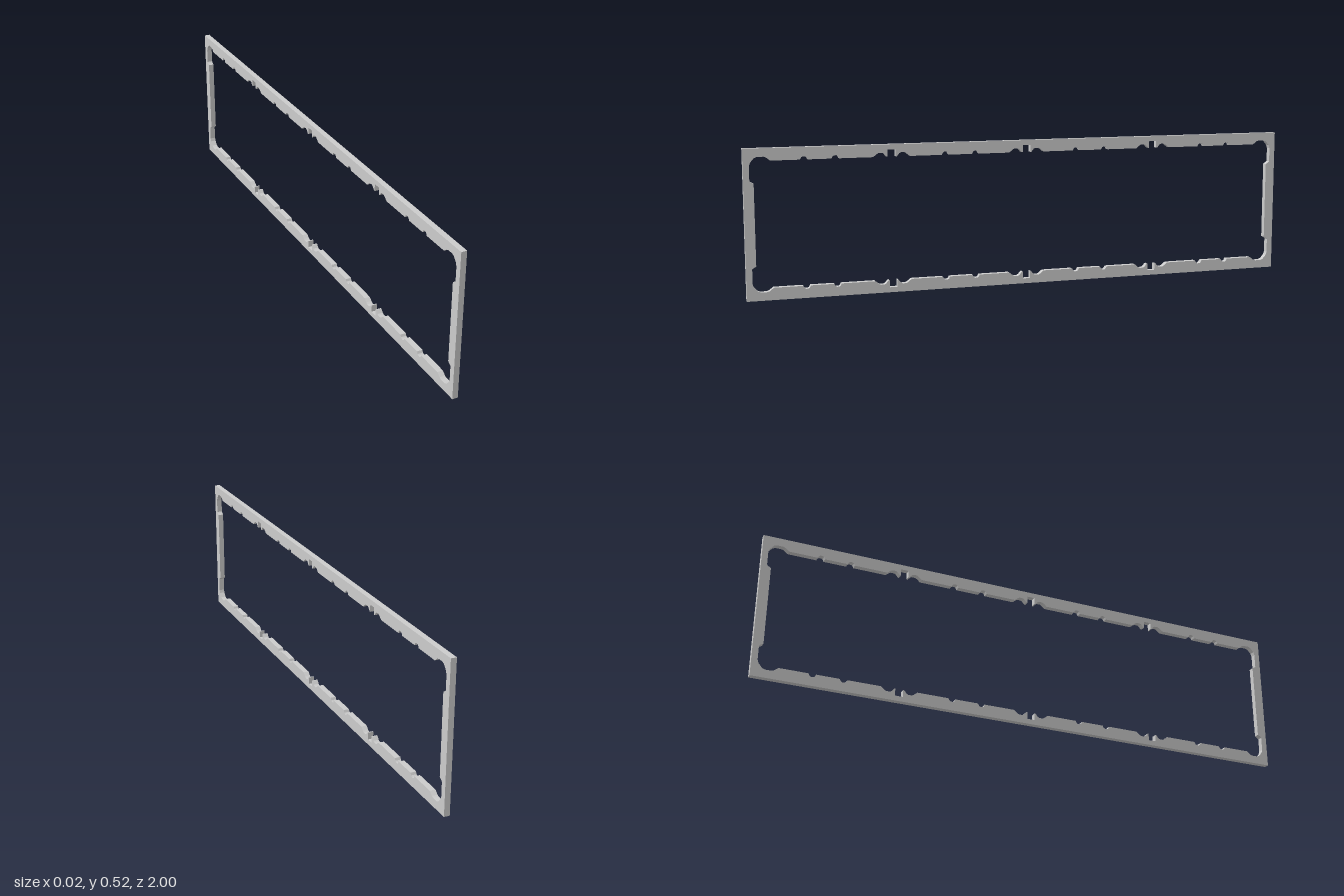
import * as THREE from 'three';

const HEIGHT = 0.522, DEPTH = 0.02, LIP = 0.043;

// Small rounded-bottom notch in the rail edge, listed in +z direction
const notch = (z) => [
  [z - 0.013, LIP], [z - 0.009, 0.035], [z - 0.004, 0.032],
  [z + 0.004, 0.032], [z + 0.009, 0.035], [z + 0.013, LIP],
];

// Half of a slotted recess: slot floor, slot wall, ear, shallow recess, back to the lip
const slotHalf = [
  [0.014, 0.018], [0.014, LIP], [0.018, LIP], [0.027, 0.032],
  [0.033, 0.029], [0.046, 0.029], [0.053, 0.033], [0.065, LIP],
];

function createOpening() {
  // One quarter of the opening: bottom centre to the middle of the end post
  const quarter = [
    ...slotHalf,
    ...notch(0.19), ...notch(0.30),
    ...slotHalf.map(([d, y]) => [0.492 - d, y]).reverse(),
    ...slotHalf.map(([d, y]) => [0.492 + d, y]),
    ...notch(0.688), ...notch(0.795),
    // Relieved corner
    [0.908, LIP], [0.922, 0.032], [0.93, 0.029], [0.952, 0.029],
    [0.962, 0.033], [0.975, 0.048], [0.979, 0.06],
    [0.979, 0.11], [0.975, 0.114], [0.965, 0.12],
  ];
  const flipY = ([z, y]) => [z, HEIGHT - y];
  const flipZ = ([z, y]) => [-z, y];
  const half = [...quarter, ...quarter.map(flipY).reverse()];
  const loop = [...half, ...half.map(flipZ).reverse()];
  return new THREE.Path(loop.map(([z, y]) => new THREE.Vector2(z, y)));
}

export function createModel() {
  const group = new THREE.Group();
  group.name = 'rectangularFrame';

  // Outer rectangle with the notched opening cut through it
  const outline = new THREE.Shape();
  outline.moveTo(-1, 0).lineTo(1, 0).lineTo(1, HEIGHT).lineTo(-1, HEIGHT).closePath();
  outline.holes.push(createOpening());

  const geometry = new THREE.ExtrudeGeometry(outline, { depth: DEPTH, bevelEnabled: false });
  geometry.translate(0, 0, -DEPTH / 2);
  geometry.rotateY(-Math.PI / 2); // stand the plate in the z-y plane

  const frame = new THREE.Mesh(
    geometry,
    new THREE.MeshStandardMaterial({ color: 0xcccccc, flatShading: true })
  );
  frame.name = 'notchedFrame';
  group.add(frame);
  return group;
}
